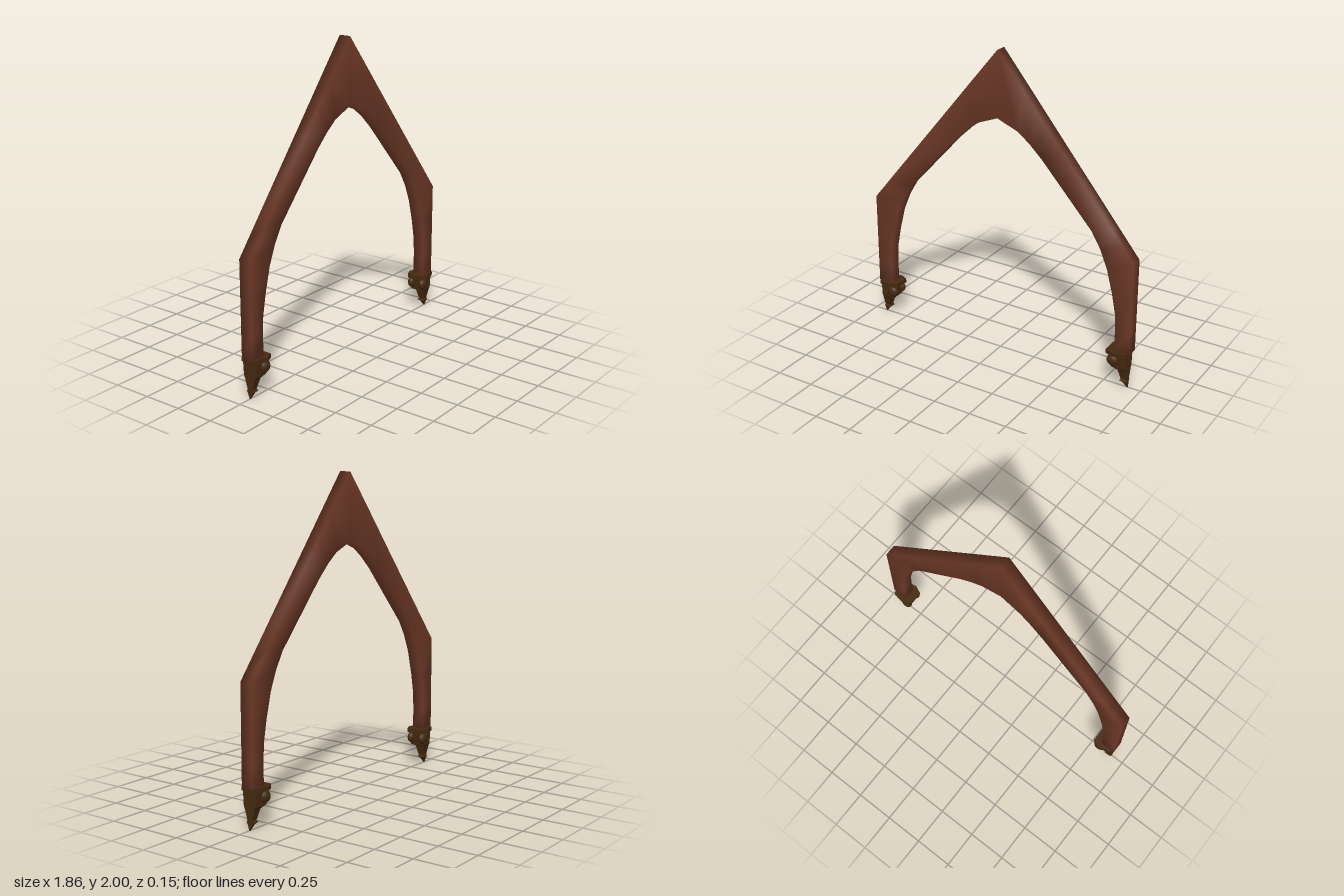
import * as THREE from 'three';

// Skin a list of rings (each counterclockwise seen from the travel direction), with capped ends
function loft(rings, smooth) {
  const n = rings[0].length, index = [];
  for (let r = 0; r < rings.length - 1; r++) {
    for (let i = 0; i < n; i++) {
      const j = (i + 1) % n, a = r * n, b = a + n;
      index.push(a + i, a + j, b + j, a + i, b + j, b + i);
    }
  }
  const last = (rings.length - 1) * n;
  for (let i = 1; i < n - 1; i++) {
    index.push(0, i + 1, i, last, last + i, last + i + 1);
  }
  let geo = new THREE.BufferGeometry();
  geo.setAttribute('position', new THREE.Float32BufferAttribute(rings.flat(2), 3));
  geo.setIndex(index);
  if (!smooth) geo = geo.toNonIndexed();
  geo.computeVertexNormals();
  return geo;
}

function named(name, geo, mat) {
  const mesh = new THREE.Mesh(geo, mat);
  mesh.name = name;
  return mesh;
}

export function createModel() {
  const wood = new THREE.MeshStandardMaterial({ color: 0x6b3826 });
  wood.name = 'red brown wood';
  const dark = new THREE.MeshStandardMaterial({ color: 0x452a10 });
  dark.name = 'dark brown wood';
  const model = new THREE.Group();
  model.name = 'archTruss';

  // Arch: outer and inner edge points from the foot to the peak, mirrored
  const half = [
    [0.932, 0.25, 0.83, 0.25], [0.932, 0.39, 0.83, 0.39], [0.932, 0.5, 0.825, 0.5],
    [0.932, 0.63, 0.80, 0.63], [0.932, 0.86, 0.76, 0.785], [0.86, 0.948, 0.71, 0.905],
    [0.79, 1.034, 0.65, 1.005], [0.43, 1.474, 0.31, 1.38], [0.30, 1.633, 0.22, 1.465],
    [0.19, 1.768, 0.14, 1.525], [0, 2, 0, 1.58],
  ];
  const other = half.slice(0, -1).reverse().map(([a, b, c, d]) => [-a, b, -c, d]);
  const t = 0.038;
  const archRings = [...half, ...other].map(([ox, oy, ix, iy]) =>
    [[ox, oy, t], [ox, oy, -t], [ix, iy, -t], [ix, iy, t]]);
  model.add(named('arch', loft(archRings, true), wood));

  // Bracket body stations: height, outer x, inner x, half depth
  const stations = [
    [0, 0.914, 0.908, 0.003], [0.035, 0.912, 0.885, 0.016], [0.045, 0.912, 0.866, 0.024],
    [0.058, 0.912, 0.872, 0.017], [0.125, 0.912, 0.858, 0.036], [0.14, 0.912, 0.815, 0.043],
    [0.23, 0.912, 0.805, 0.048],
  ];
  const bodyGeo = loft(stations.map(([y, o, i, d]) =>
    [[o, y, d], [o, y, -d], [i, y, -d], [i, y, d]]), false);

  // Pointed cap plate
  const outline = [[0.917, 0.055], [0.917, -0.055], [0.83, -0.073],
    [0.78, -0.05], [0.78, 0.05], [0.83, 0.073]];
  const plateGeo = loft([0.228, 0.255].map((y) => outline.map(([x, z]) => [x, y, z])), false);
  const scrollGeo = new THREE.SphereGeometry(0.038, 16, 12);

  for (const side of [1, -1]) {
    const bracket = new THREE.Group();
    bracket.name = side > 0 ? 'leftBracket' : 'rightBracket';
    bracket.add(named('bracketBody', bodyGeo, dark), named('capPlate', plateGeo, dark));
    // Round scroll bosses, front and back
    for (const z of [0.042, -0.042]) {
      const boss = named('scrollBoss', scrollGeo, dark);
      boss.position.set(0.824, 0.188, z);
      boss.scale.z = 0.68;
      bracket.add(boss);
    }
    if (side < 0) bracket.rotation.y = Math.PI;
    model.add(bracket);
  }
  return model;
}
